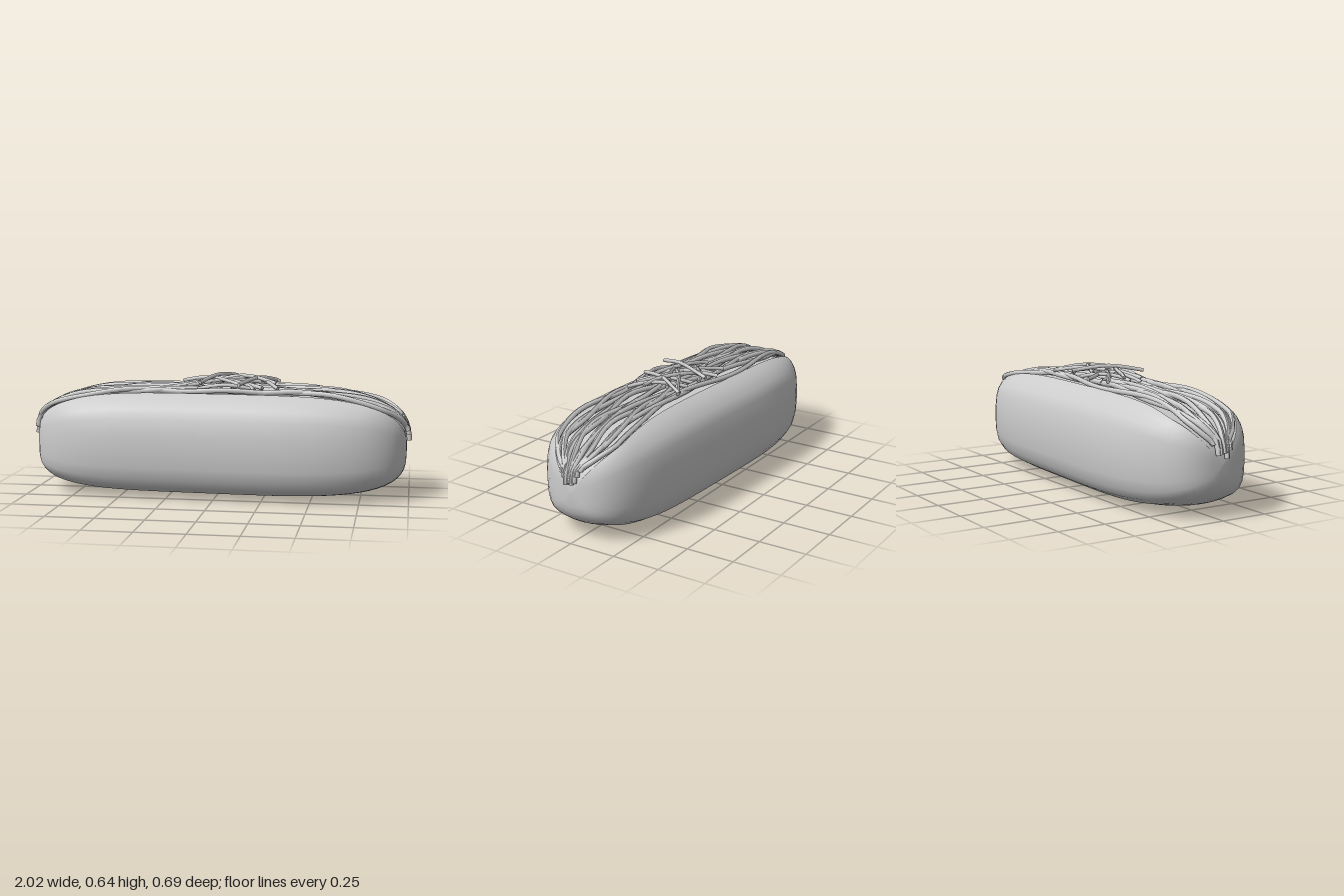
import * as THREE from 'three';

const material = new THREE.MeshStandardMaterial({ color: 0xcccccc });
const HALF = 0.985;   // half length of the bun
const MID = 0.26;     // height of the widest line

// Rounded falloff from 1 at the middle to 0 at the tips
const falloff = (x, m, half = HALF) =>
  Math.pow(Math.max(0, 1 - Math.pow(Math.abs(x) / half, 4)), 1 / m);
const topY = (x) => MID + 0.288 * falloff(x, 2.7);
const bottomY = (x) => MID - 0.258 * falloff(x, 3.5);
const width = (x) => 0.337 * falloff(x, 2.4);
const grooveHalf = (x) => Math.min(0.187, 0.72 * width(x));
const sway = (x) => 0.012 * Math.sin(Math.PI * x) * falloff(x, 2);

// Skin between cross-sections spaced along x; section(x) gives [z, y] points
function loft(name, section, rings = 40) {
  const pos = [], index = [];
  let n = 0;
  for (let i = 0; i <= rings; i++) {
    const x = HALF * Math.sin((i / rings - 0.5) * Math.PI);
    const pts = section(x);
    n = pts.length;
    for (const [z, y] of pts) pos.push(x, y, z);
  }
  for (let i = 0; i < rings; i++) {
    for (let j = 0; j < n - 1; j++) {
      const a = i * n + j, b = a + n;
      index.push(a, a + 1, b, b, a + 1, b + 1);
    }
  }
  const geo = new THREE.BufferGeometry();
  geo.setAttribute('position', new THREE.Float32BufferAttribute(pos, 3));
  geo.setIndex(index);
  geo.computeVertexNormals();
  const mesh = new THREE.Mesh(geo, material);
  mesh.name = name;
  return mesh;
}

// Upper points run from groove edge to widest line, lower ones to the keel
const UPPER = [[0, 1], [0.35, 0.92], [0.7, 0.75], [0.88, 0.56], [0.97, 0.28], [1, 0]];
const LOWER = [[0.985, 0.35], [0.94, 0.59], [0.85, 0.76], [0.68, 0.88], [0.41, 0.955], [0.2, 0.99]];

function bunSection(x) {
  const g = grooveHalf(x), w = width(x), c = sway(x);
  const up = topY(x) - MID, down = MID - bottomY(x);
  const half = [
    ...UPPER.map(([a, f]) => [g + (w - g) * a, MID + up * f]),
    ...LOWER.map(([b, f]) => [w * b, MID - down * f]),
  ];
  const mirrored = half.map(([z, y]) => [c - z, y]).reverse();
  return [...half.map(([z, y]) => [c + z, y]), [c, MID - down], ...mirrored];
}

// Slightly sunken floor of the slit
function bedSection(x) {
  const g = grooveHalf(x), y = topY(x), c = sway(x);
  const d = 0.016 * falloff(x, 2);
  return [[-1, 0], [-0.93, 1], [-0.4, 1.1], [0, 1.1], [0.4, 1.1], [0.93, 1], [1, 0]]
    .map(([s, f]) => [c + g * s, y - d * f]);
}

// Capped rod bent along path(t)
function strand(name, path, radius, sides, steps) {
  const geo = new THREE.CylinderGeometry(radius, radius, 1, sides, steps);
  const p = geo.attributes.position;
  const up = new THREE.Vector3(0, 1, 0);
  for (let i = 0; i < p.count; i++) {
    const t = p.getY(i) + 0.5;
    const tangent = path(Math.min(1, t + 0.005)).sub(path(Math.max(0, t - 0.005))).normalize();
    const side = tangent.clone().cross(up).normalize();
    const normal = side.clone().cross(tangent);
    const v = path(t).addScaledVector(side, p.getX(i)).addScaledVector(normal, p.getZ(i));
    p.setXYZ(i, v.x, v.y, v.z);
  }
  geo.computeVertexNormals();
  const mesh = new THREE.Mesh(geo, material);
  mesh.name = name;
  return mesh;
}

// Long noodles that wander along the slit and gather at both tips
function noodles() {
  const group = new THREE.Group();
  group.name = 'noodles';
  const count = 12;
  for (let k = 0; k < count; k++) {
    const lane = (k / (count - 1)) * 2 - 1;
    const phase = k * 2.4, freq = 6 + (k % 4) * 1.1;
    const reach = 0.94 + 0.05 * ((k * 7) % 5) / 4 - 0.05 * Math.abs(lane);
    const path = (t) => {
      const x = 0.998 * Math.sin((t - 0.5) * Math.PI * reach);
      const spread = Math.max(0.05, Math.min(0.155, 0.66 * width(x)));
      const z = sway(x) + lane * spread + 0.022 * Math.sin(freq * x + phase) * (spread / 0.155);
      const y = MID + 0.012 + 0.286 * falloff(x, 2.7, 0.998) + 0.007 * Math.sin(freq * 1.3 * x + phase * 1.7);
      return new THREE.Vector3(x, y, z);
    };
    group.add(strand('noodle', path, 0.0135, 7, 44));
  }
  return group;
}

// Crossed pile of shredded strips: x1, z1, x2, z2, resting height
const STRIPS = [
  [-0.2, -0.13, 0.24, 0.13, 0.575], [-0.24, 0.04, 0.19, 0.02, 0.57],
  [-0.03, 0.06, 0.3, -0.17, 0.585], [0.16, -0.13, 0.32, 0.13, 0.575],
  [-0.16, 0.11, 0.24, -0.05, 0.58], [-0.07, -0.16, 0.1, 0.16, 0.575],
  [0.07, -0.18, -0.08, 0.17, 0.605], [0.29, -0.17, 0.12, 0.15, 0.59],
  [-0.2, -0.04, 0.12, 0.1, 0.59], [0, -0.1, 0.3, 0.04, 0.595],
  [-0.13, -0.12, 0.02, 0.12, 0.565], [-0.1, 0.14, 0.2, 0.14, 0.565],
  [0.2, 0.16, 0.06, -0.1, 0.565], [-0.17, 0.02, 0.06, -0.14, 0.57],
];

function topping() {
  const group = new THREE.Group();
  group.name = 'shreddedTopping';
  STRIPS.forEach(([x1, z1, x2, z2, y], k) => {
    const path = (t) => new THREE.Vector3(
      x1 + (x2 - x1) * t,
      y + 0.025 * Math.sin(Math.PI * t) + 0.008 * (t - 0.5) * Math.sin(k * 2),
      z1 + (z2 - z1) * t + 0.01 * Math.sin(Math.PI * 2 * t + k));
    group.add(strand('shred', path, 0.0105, 5, 8));
  });
  return group;
}

export function createModel() {
  const model = new THREE.Group();
  model.name = 'noodleBun';
  model.add(loft('bun', bunSection), loft('slit', bedSection), noodles(), topping());
  return model;
}
